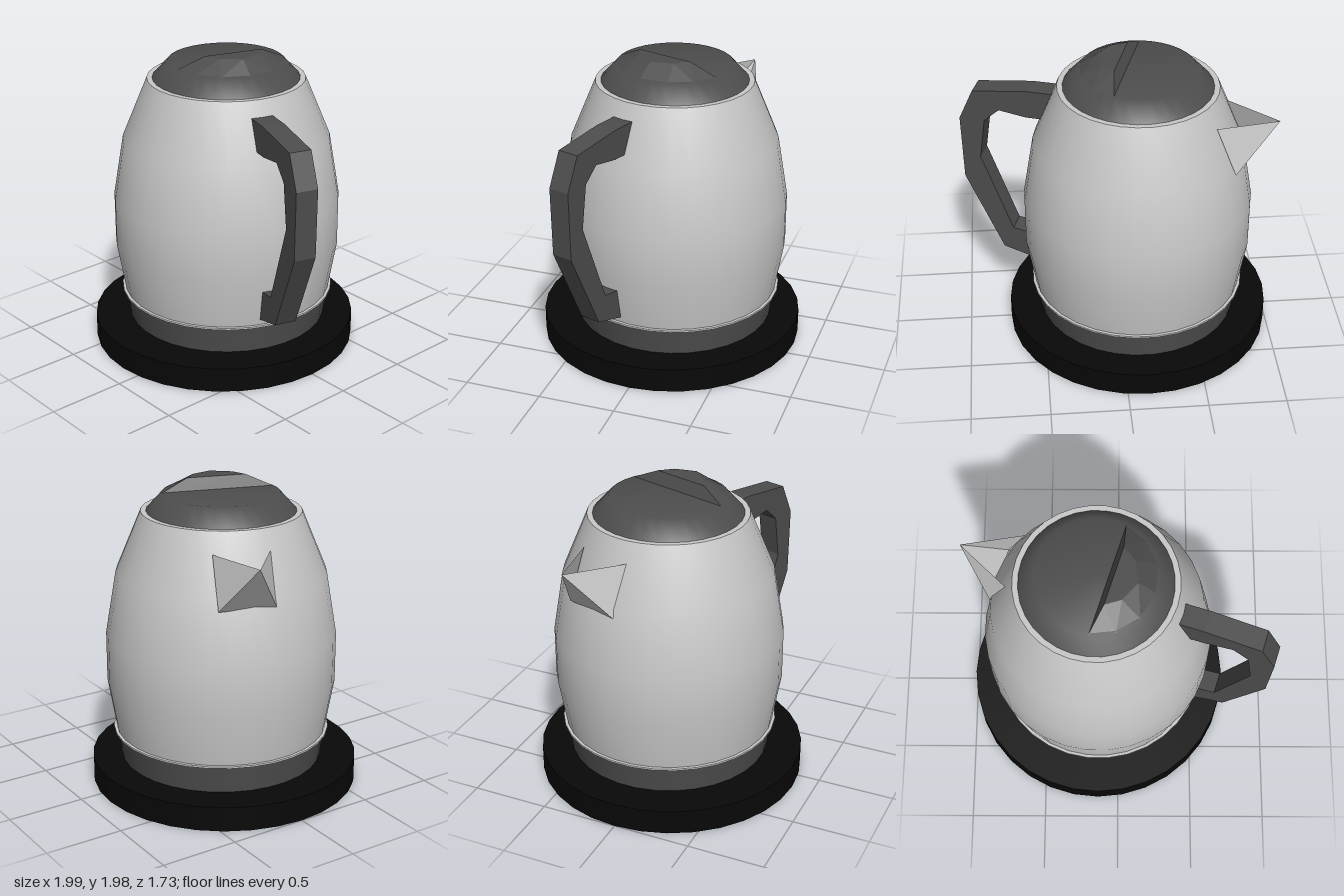
import * as THREE from 'three';
import { ConvexGeometry } from 'three/addons/geometries/ConvexGeometry.js';

const material = (name, color) => {
  const m = new THREE.MeshStandardMaterial({ color });
  m.name = name;
  return m;
};

export function createModel() {
  const steel = material('brushed steel', 0xc8c8c8);
  const steelSheet = material('brushed steel sheet', 0xc8c8c8);
  steelSheet.side = THREE.DoubleSide;
  const plastic = material('dark grey plastic', 0x4d4d4d);
  const black = material('black plastic', 0x080808);
  const SIDES = 32;

  const model = new THREE.Group();
  model.name = 'kettle';

  // The jug is turned on its base: handle along local +x, spout along local -x
  const jug = new THREE.Group();
  jug.name = 'jug';
  jug.position.set(-0.13, 0, -0.02);
  jug.rotation.y = -0.305;
  model.add(jug);

  const add = (parent, name, geometry, mat) => {
    const mesh = new THREE.Mesh(geometry, mat);
    mesh.name = name;
    parent.add(mesh);
    return mesh;
  };
  const lathe = (points) =>
    new THREE.LatheGeometry(points.map(([r, y]) => new THREE.Vector2(r, y)), SIDES);

  // Power base
  add(model, 'powerBase', new THREE.CylinderGeometry(0.8625, 0.8625, 0.16, SIDES), black)
    .position.set(-0.1375, 0.08, 0);

  // Plastic skirt and thin rim under the body
  add(jug, 'skirt', new THREE.CylinderGeometry(0.675, 0.65, 0.19, SIDES).translate(0, 0.25, 0), plastic);
  add(jug, 'rim', new THREE.CylinderGeometry(0.7, 0.7, 0.012, SIDES).translate(0, 0.349, 0), steel);

  // Rounded steel body with a flat shoulder around the lid
  add(jug, 'body', lathe([[0.68, 0.35], [0.735, 0.68], [0.735, 1.0], [0.667, 1.4], [0.505, 1.79]]), steel);
  add(jug, 'shoulder', lathe([[0.505, 1.79], [0.44, 1.79]]), steel);

  // Lid with a raised half on the handle side
  add(jug, 'lid', lathe([[0.475, 1.785], [0.37, 1.9], [0, 1.9]]), plastic);
  const half = (outline, y) => outline.flatMap(([a, b]) =>
    [b, -b].map((z) => new THREE.Vector3(a, y, z)));
  add(jug, 'lidRaisedHalf', new ConvexGeometry([
    ...half([[0.07, 0.37], [0.22, 0.305], [0.33, 0.18], [0.375, 0]], 1.895),
    ...half([[0.11, 0.19], [0.2, 0.13], [0.26, 0]], 1.975),
  ]), plastic);

  // Angular loop handle
  const handleShape = new THREE.Shape([
    [0.54, 1.69], [0.7, 1.69], [1.06, 1.65], [1.155, 1.44], [1.145, 1.0], [0.9, 0.46], [0.67, 0.39],
    [0.71, 0.6], [0.83, 0.62], [1.03, 1.16], [0.99, 1.44], [0.89, 1.53], [0.71, 1.5], [0.61, 1.5],
  ].map(([a, y]) => new THREE.Vector2(a, y)));
  const handle = new THREE.ExtrudeGeometry(handleShape, { depth: 0.14, bevelEnabled: false });
  add(jug, 'handle', handle.translate(0, 0, -0.07), plastic);

  // Open-topped pouring spout: three folded faces meeting at the tip
  const tip = [-0.89, 1.665, -0.03];
  const backTop = [-0.53, 1.665, -0.21];
  const backLow = [-0.66, 1.35, -0.21];
  const frontLow = [-0.66, 1.35, 0.15];
  const frontTop = [-0.53, 1.665, 0.15];
  const spout = new THREE.BufferGeometry();
  spout.setAttribute('position', new THREE.Float32BufferAttribute([
    tip, backTop, backLow, tip, backLow, frontLow, tip, frontLow, frontTop,
  ].flat(), 3));
  spout.computeVertexNormals();
  add(jug, 'spout', spout, steelSheet);

  return model;
}
